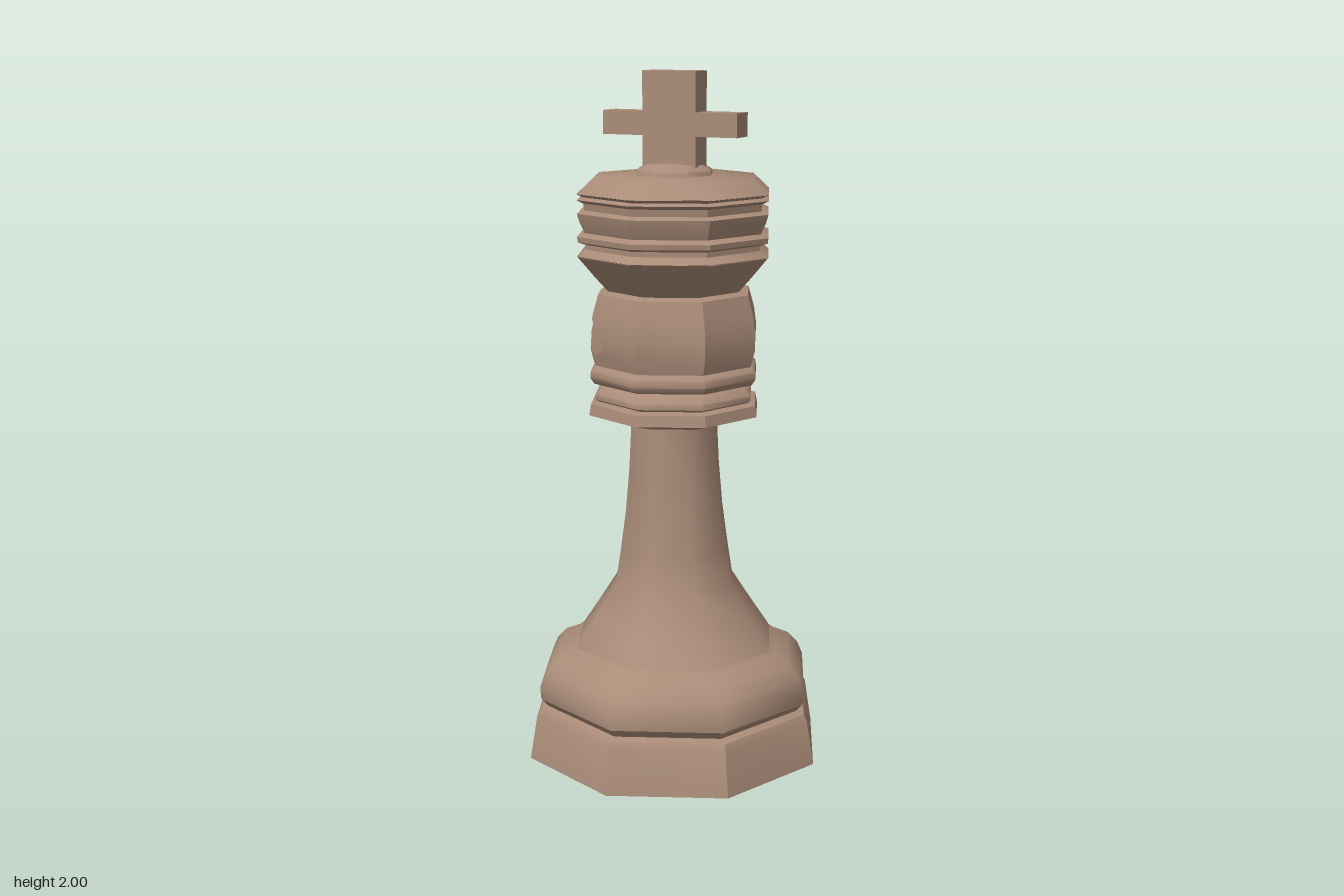
import * as THREE from 'three';
import { toCreasedNormals } from 'three/addons/utils/BufferGeometryUtils.js';

const wood = new THREE.MeshStandardMaterial({ color: 0xaa8c78, side: THREE.DoubleSide });
wood.name = 'brown wood';

const SHARP = 0.6;   // keeps the eight upright edges
const SMOOTH = 0.95; // blends around the octagon

// Octagonal turning; profile is [distance to flat side, height], bottom to top
function turned(profile, crease) {
  const k = 1 / Math.cos(Math.PI / 8);
  const pts = profile.map(([a, y]) => new THREE.Vector2(a * k, y));
  const g = new THREE.LatheGeometry(pts, 8, Math.PI / 8);
  g.deleteAttribute('normal');
  g.deleteAttribute('uv');
  return toCreasedNormals(g, crease);
}

function add(group, name, geometry) {
  const mesh = new THREE.Mesh(geometry, wood);
  mesh.name = name;
  group.add(mesh);
  return mesh;
}

function fromTriangles(tris, crease) {
  const g = new THREE.BufferGeometry();
  g.setAttribute('position', new THREE.Float32BufferAttribute(tris.flatMap((p) => [p.x, p.y, p.z]), 3));
  return toCreasedNormals(g, crease);
}

// Keep the part of each polygon where f >= 0
function clip(polys, f) {
  return polys.map((poly) => {
    const out = [];
    poly.forEach((p, i) => {
      const q = poly[(i + 1) % poly.length], a = f(p), b = f(q);
      if (a >= 0) out.push(p);
      if (a * b < 0) out.push(p.clone().lerp(q, a / (a - b)));
    });
    return out;
  }).filter((p) => p.length > 2);
}

const HEAD = [[0.222, 1.175], [0.233, 1.22], [0.235, 1.27], [0.228, 1.32], [0.212, 1.38], [0.17, 1.39]];

// Slanted slot: corner position, slope and width, in (inward, up) coordinates
const TURN = 0.17, WIDTH = 0.045;
const inward = new THREE.Vector3(Math.cos(TURN), 0, -Math.sin(TURN));
const across = new THREE.Vector3(Math.sin(TURN), 0, Math.cos(TURN));
const corner = [-0.08, 1.23], down = [0.555, -0.832], side = [-0.832, -0.555];
const along = (v) => (p) => (p.dot(inward) - corner[0]) * v[0] + (p.y - corner[1]) * v[1];

function slottedHead() {
  const pos = turned(HEAD, SHARP).getAttribute('position');
  const tris = [];
  for (let i = 0; i < pos.count; i += 3) {
    tris.push([0, 1, 2].map((j) => new THREE.Vector3().fromBufferAttribute(pos, i + j)));
  }
  const s = along(side), e = along(down);
  const between = clip(clip(tris, s), (p) => WIDTH - s(p));
  const kept = [
    ...clip(tris, (p) => -s(p)),
    ...clip(tris, (p) => s(p) - WIDTH),
    ...clip(between, e),
  ];
  const out = [];
  for (const p of kept) for (let i = 1; i < p.length - 1; i++) out.push(p[0], p[i], p[i + 1]);
  return fromTriangles(out, SHARP);
}

// Ends of the line running across the head at (u, y)
function chord(u, y) {
  let i = 0;
  while (i < HEAD.length - 2 && HEAD[i + 1][1] < y) i++;
  const [a0, y0] = HEAD[i], [a1, y1] = HEAD[i + 1];
  const a = a0 + (a1 - a0) * Math.min(1, (y - y0) / (y1 - y0));
  const base = inward.clone().multiplyScalar(u).setY(y);
  let lo = -1, hi = 1;
  for (let k = 0; k < 8; k++) {
    const n = new THREE.Vector3(Math.cos(k * Math.PI / 4), 0, Math.sin(k * Math.PI / 4));
    const d = n.dot(across), t = (a - n.dot(base)) / d;
    if (d > 0) hi = Math.min(hi, t); else lo = Math.max(lo, t);
  }
  if (lo > hi) return null;
  return [lo, hi].map((t) => base.clone().addScaledVector(across, t));
}

// Inner faces of the slot
function slotWalls() {
  const at = (s, e) => [corner[0] + side[0] * s + down[0] * e, corner[1] + side[1] * s + down[1] * e];
  const path = [at(0, -0.19), at(0, 0), at(WIDTH, 0), at(WIDTH, -0.19)];
  const out = [], steps = 16;
  for (let k = 0; k < 3; k++) {
    const [p, q] = [path[k], path[k + 1]];
    let last = null;
    for (let i = 0; i <= steps; i++) {
      const t = i / steps;
      const now = chord(p[0] + (q[0] - p[0]) * t, p[1] + (q[1] - p[1]) * t);
      if (last && now) out.push(last[0], now[0], last[1], now[0], now[1], last[1]);
      last = now;
    }
  }
  return fromTriangles(out, 0.3);
}

export function createModel() {
  const model = new THREE.Group();
  model.name = 'chessPiece';

  // Foot and rounded base
  add(model, 'foot', turned([[0, 0], [0.418, 0], [0.398, 0.13], [0.388, 0.15], [0.365, 0.157]], SHARP));
  add(model, 'baseRim', turned([[0.365, 0.157], [0.386, 0.183], [0.386, 0.187]], SHARP));
  add(model, 'baseBulge', turned([[0.386, 0.186], [0.388, 0.22], [0.372, 0.26], [0.342, 0.295],
    [0.3, 0.315], [0.275, 0.335]], SMOOTH));

  // Flared stem
  add(model, 'stem', turned([[0.292, 0.315], [0.23, 0.415], [0.17, 0.515], [0.155, 0.615], [0.14, 0.73],
    [0.129, 0.86], [0.122, 1.01]], SMOOTH));

  // Stacked collars
  add(model, 'lowerCollar', turned([[0.11, 1.0], [0.15, 1.003], [0.24, 1.03], [0.235, 1.062], [0.2, 1.07]], SHARP));
  add(model, 'middleCollar', turned([[0.2, 1.062], [0.222, 1.075], [0.222, 1.09], [0.205, 1.108], [0.18, 1.118]], SMOOTH));
  add(model, 'upperCollar', turned([[0.18, 1.115], [0.225, 1.122], [0.236, 1.14], [0.234, 1.16],
    [0.222, 1.172], [0.18, 1.178]], SMOOTH));

  // Head with slanted slot
  add(model, 'head', slottedHead());
  add(model, 'headSlot', slotWalls());

  // Crown with ridges
  add(model, 'crownFlare', turned([[0.168, 1.375], [0.188, 1.39], [0.225, 1.435], [0.268, 1.49]], SMOOTH));
  add(model, 'crownRidges', turned([[0.268, 1.488], [0.245, 1.508], [0.245, 1.522], [0.266, 1.53], [0.268, 1.545],
    [0.247, 1.555], [0.262, 1.59], [0.267, 1.61], [0.247, 1.618], [0.25, 1.638], [0.268, 1.648],
    [0.25, 1.655], [0.268, 1.665]], SHARP));
  add(model, 'crownTop', turned([[0.268, 1.664], [0.223, 1.708], [0, 1.715]], SMOOTH));
  add(model, 'knob', turned([[0.108, 1.705], [0.104, 1.725], [0.08, 1.74], [0, 1.747]], SMOOTH));

  // Cross finial
  const cross = new THREE.Group();
  cross.name = 'cross';
  cross.rotation.y = Math.PI / 8;
  add(cross, 'upright', new THREE.BoxGeometry(0.165, 0.29, 0.074)).position.y = 1.855;
  for (const x of [-1, 1]) {
    add(cross, 'arm', new THREE.BoxGeometry(0.1255, 0.067, 0.074)).position.set(x * 0.14525, 1.854, 0);
  }
  model.add(cross);
  return model;
}
